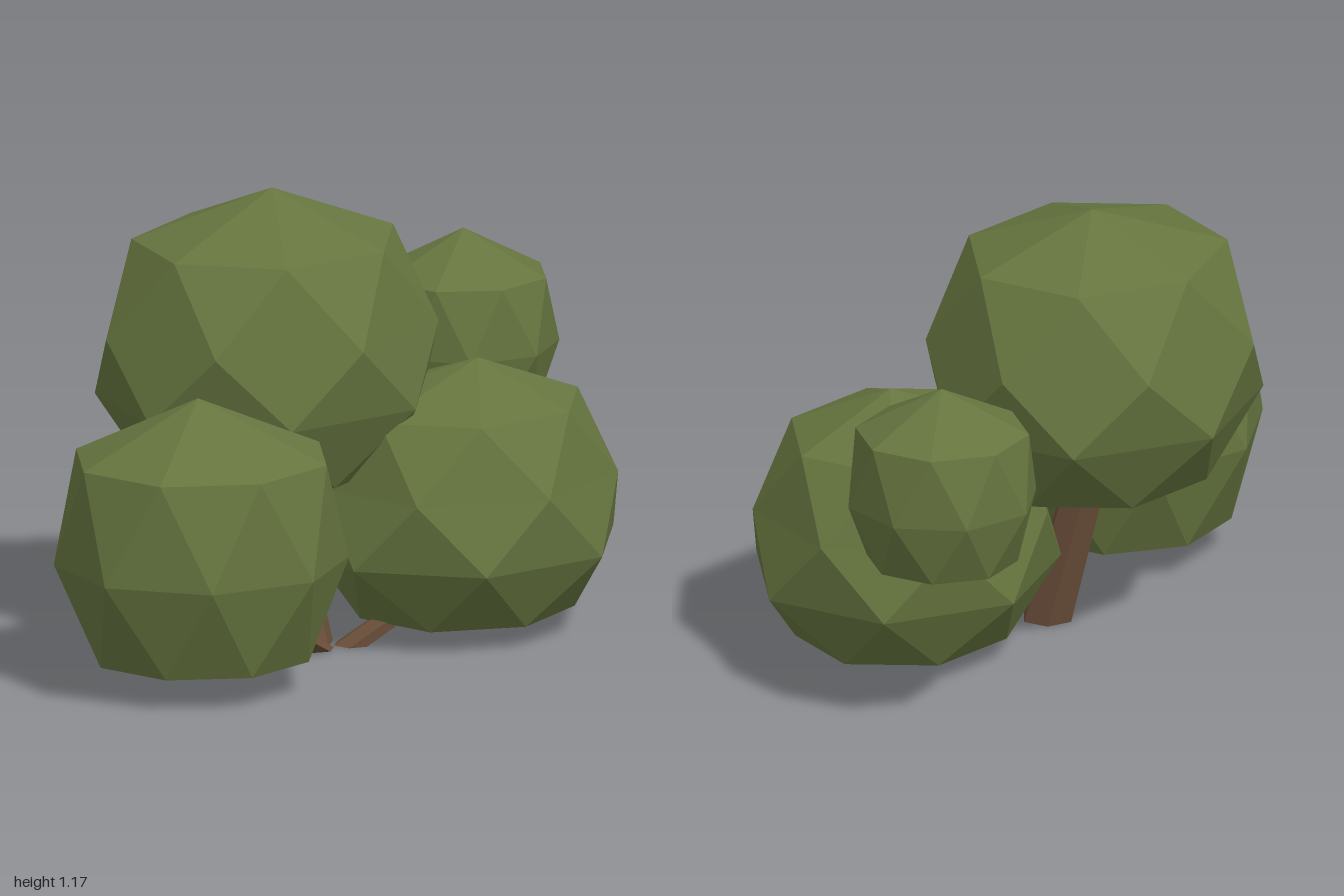
import * as THREE from 'three';

const leafMaterial = new THREE.MeshStandardMaterial({ color: 0x66753f, flatShading: true, side: THREE.DoubleSide });
const barkMaterial = new THREE.MeshStandardMaterial({ color: 0x6b4f3a, flatShading: true });

// Faceted leaf clump: an apex and staggered rings [radius, y], open underneath
function clump({ name, centre, sides, phase, depth, apex, rings }) {
  const step = (Math.PI * 2) / sides;
  const point = (k, i) => {
    const [r, y] = rings[k];
    const a = phase + step * (i + k / 2);
    return [centre[0] + r * Math.sin(a), y, centre[1] + r * depth * Math.cos(a)];
  };
  const positions = [];
  for (let i = 0; i < sides; i++) {
    positions.push(...apex, ...point(0, i), ...point(0, i + 1));
    for (let k = 0; k < rings.length - 1; k++) {
      positions.push(...point(k, i), ...point(k + 1, i), ...point(k, i + 1));
      positions.push(...point(k + 1, i), ...point(k + 1, i + 1), ...point(k, i + 1));
    }
  }
  const geometry = new THREE.BufferGeometry();
  geometry.setAttribute('position', new THREE.Float32BufferAttribute(positions, 3));
  geometry.computeVertexNormals();
  const mesh = new THREE.Mesh(geometry, leafMaterial);
  mesh.name = name;
  return mesh;
}

// Tapered limb sheared from one point to another, so both ends stay level
function limb(name, from, to, bottomRadius, topRadius) {
  const height = to[1] - from[1];
  const geometry = new THREE.CylinderGeometry(topRadius, bottomRadius, height, 6);
  geometry.translate(0, height / 2, 0);
  const shear = new THREE.Matrix4().set(
    1, (to[0] - from[0]) / height, 0, from[0],
    0, 1, 0, from[1],
    0, (to[2] - from[2]) / height, 1, from[2],
    0, 0, 0, 1
  );
  geometry.applyMatrix4(shear);
  const mesh = new THREE.Mesh(geometry, barkMaterial);
  mesh.name = name;
  return mesh;
}

export function createModel() {
  const tree = new THREE.Group();
  tree.name = 'tree';

  // Trunk and low branches
  tree.add(
    limb('trunk', [-0.06, 0, -0.01], [-0.05, 0.55, -0.17], 0.07, 0.055),
    limb('rightBranch', [-0.1, 0, 0.05], [-0.42, 0.16, 0.08], 0.05, 0.045),
    limb('frontBranch', [0.0, 0, 0.09], [0.24, 0.18, 0.25], 0.05, 0.045)
  );

  // Two large clumps with a double belt
  tree.add(
    clump({
      name: 'topFoliage', centre: [-0.05, -0.155], sides: 7, phase: 0.21, depth: 0.91,
      apex: [-0.01, 1.175, -0.17],
      rings: [[0.37, 1.05], [0.47, 0.83], [0.47, 0.64], [0.33, 0.445]],
    }),
    clump({
      name: 'frontFoliage', centre: [0.32, 0.2], sides: 7, phase: 0.21, depth: 0.9,
      apex: [0.34, 0.72, 0.23],
      rings: [[0.335, 0.605], [0.425, 0.415], [0.44, 0.23], [0.305, 0.057]],
    })
  );

  // Two rounder clumps with a single belt
  tree.add(
    clump({
      name: 'rightFoliage', centre: [-0.607, 0.085], sides: 8, phase: Math.PI / 8, depth: 0.955,
      apex: [-0.64, 0.775, 0.1],
      rings: [[0.35, 0.61], [0.393, 0.335], [0.3, 0.085]],
    }),
    clump({
      name: 'leftFoliage', centre: [0.745, -0.155], sides: 8, phase: Math.PI / 8, depth: 0.98,
      apex: [0.75, 0.928, -0.155],
      rings: [[0.23, 0.81], [0.255, 0.625], [0.2, 0.46]],
    })
  );
  return tree;
}
